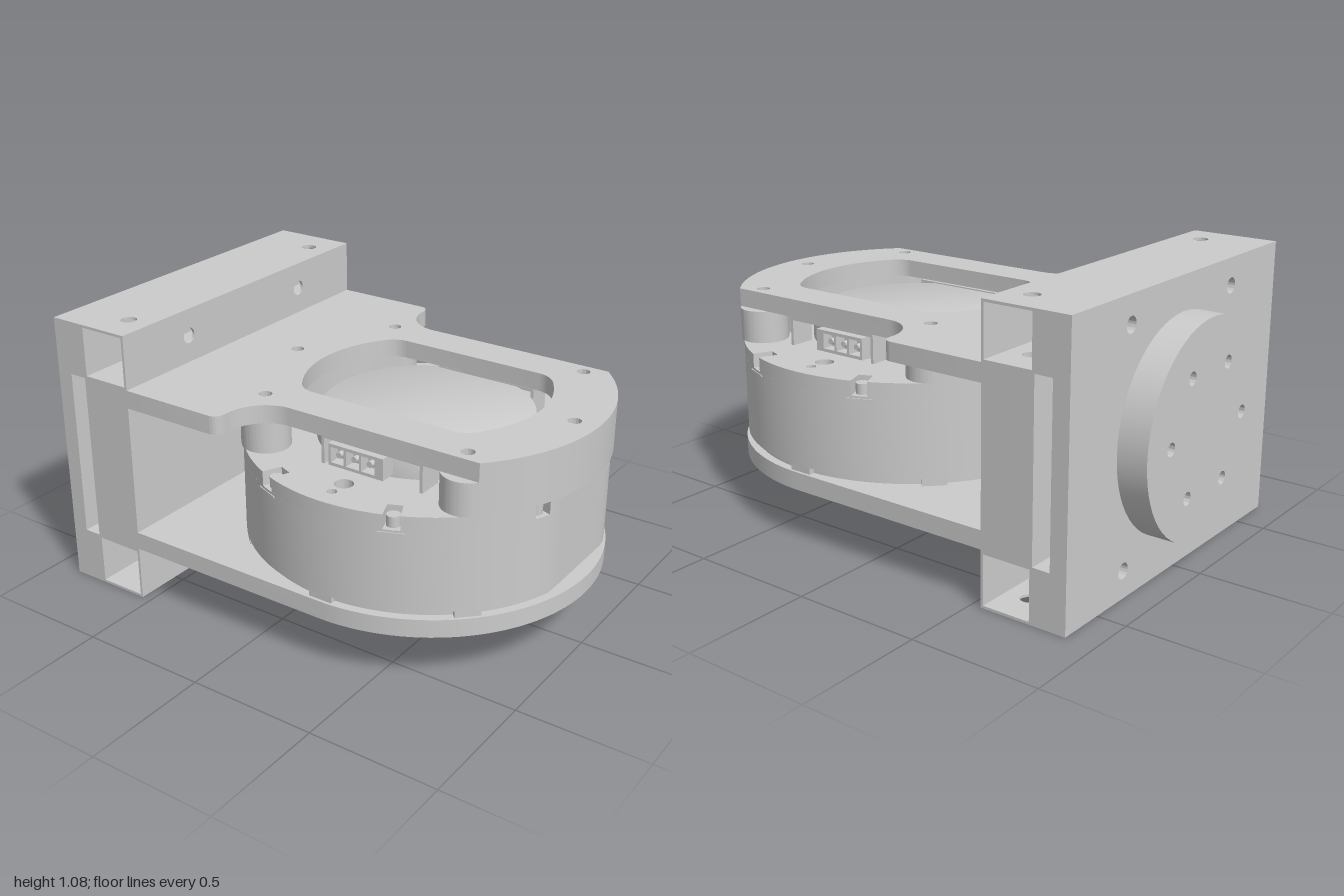
import * as THREE from 'three';
import { toCreasedNormals } from 'three/addons/utils/BufferGeometryUtils.js';

const CX = 0.31;        // motor axis in x
const HALF = 0.688;     // half width of the bracket
const PI = Math.PI;
const material = new THREE.MeshStandardMaterial({ color: 0xcccccc });

const hole = (shape, x, y, r) => {
  const p = new THREE.Path();
  p.absarc(x, y, r, 0, PI * 2, true);
  shape.holes.push(p);
};
const rect = (x0, y0, x1, y1, holes = [], r = 0.03) => {
  const s = new THREE.Shape();
  s.moveTo(x0, y0).lineTo(x1, y0).lineTo(x1, y1).lineTo(x0, y1).closePath();
  holes.forEach(([x, y]) => hole(s, x, y, r));
  return s;
};
const disc = (x, y, r) => {
  const s = new THREE.Shape();
  s.absarc(x, y, r, 0, PI * 2);
  return s;
};
const ring = (n, r, cx = 0, cy = 0, start = 0) => Array.from({ length: n }, (_, i) => {
  const a = start + (i * 2 * PI) / n;
  return [cx + r * Math.cos(a), cy + r * Math.sin(a)];
});

// Motor outline: a circle with side flats and radial steps at eight places
function motorOutline(R, flat, stepR, start, halfAngle) {
  const pts = [];
  const add = (a, r) => {
    const x = Math.max(-flat, Math.min(flat, r * Math.cos(a)));
    pts.push(new THREE.Vector2(CX + x, r * Math.sin(a)));
  };
  for (let i = 0; i < 8; i++) {
    const a = start + (i * PI) / 4;
    if (stepR) [-1, 1].forEach((s) => add(a + s * halfAngle, stepR));
    for (let k = 0; k <= 12; k++) add(a + halfAngle + (k / 12) * (PI / 4 - 2 * halfAngle), R);
  }
  return new THREE.Shape(pts);
}

export function createModel() {
  const model = new THREE.Group();
  const add = (name, geometry) => {
    const mesh = new THREE.Mesh(geometry, material);
    mesh.name = name;
    model.add(mesh);
    return mesh;
  };
  const extrude = (shape, depth) => toCreasedNormals(
    new THREE.ExtrudeGeometry(shape, { depth, bevelEnabled: false, curveSegments: 32 }), 0.4);
  // Slab lying flat, between two heights
  const slab = (name, shape, y0, y1) =>
    add(name, extrude(shape, y1 - y0).rotateX(-PI / 2).translate(0, y0, 0));
  // Slab standing upright across x
  const wall = (name, shape, x0, x1) =>
    add(name, extrude(shape, x1 - x0).rotateY(PI / 2).translate(x0, 0, 0));

  // End block: back wall, two square tubes and the solid core behind a slot
  const low = [[-0.34, 0.105], [0.34, 0.105]];
  const high = low.map(([z, y]) => [z, 1.08 - y]);
  const drill = [[-0.64, 0.55], [-0.64, -0.55]];
  wall('backWall', rect(-HALF, 0, HALF, 1.08, [...low, ...high]), -0.885, -0.82);
  wall('upperTubeBack', rect(-HALF, 0.87, HALF, 1.08, high), -0.82, -0.74);
  wall('lowerTubeBack', rect(-HALF, 0, HALF, 0.21, low), -0.82, -0.74);
  wall('upperTubeFront', rect(-HALF, 0.87, HALF, 1.08, high), -0.55, -0.54);
  wall('lowerTubeFront', rect(-HALF, 0, HALF, 0.21, low), -0.55, -0.54);
  slab('upperTubeLid', rect(-0.74, -HALF, -0.55, HALF, drill), 1.07, 1.08);
  slab('lowerTubeFloor', rect(-0.74, -HALF, -0.55, HALF, drill), 0, 0.01);
  slab('blockCore', rect(-0.75, -HALF, -0.54, HALF, drill), 0.2, 0.88);

  // Mounting flange on the back wall
  const flange = disc(0, 0.545, 0.405);
  ring(6, 0.25, 0, 0.545).forEach(([z, y]) => hole(flange, z, y, 0.025));
  wall('mountFlange', flange, -1, -0.885);

  // Bottom arm with a round end and a large opening
  const bolts = ring(8, 0.597, CX);
  const bottom = new THREE.Shape();
  bottom.moveTo(-0.54, -HALF).lineTo(CX, -HALF);
  bottom.absarc(CX, 0, HALF, -PI / 2, PI / 2);
  bottom.lineTo(-0.54, HALF).closePath();
  hole(bottom, CX, 0, 0.47);
  bolts.forEach(([x, z]) => hole(bottom, x, z, 0.025));
  slab('bottomArm', bottom, 0.215, 0.285);

  // Top arm, waisted at both sides, with a window
  const top = new THREE.Shape();
  const waist = Math.asin(0.475 / HALF);
  top.moveTo(-0.54, -HALF).lineTo(-0.16, -HALF);
  top.quadraticCurveTo(-0.115, -HALF, -0.115, -0.64);
  top.bezierCurveTo(-0.115, -0.55, -0.05, -0.475, 0.04, -0.475);
  top.absarc(CX, 0, HALF, -waist, waist);
  top.lineTo(0.04, 0.475);
  top.bezierCurveTo(-0.05, 0.475, -0.115, 0.55, -0.115, 0.64);
  top.quadraticCurveTo(-0.115, HALF, -0.16, HALF);
  top.lineTo(-0.54, HALF).closePath();
  const windowPath = new THREE.Path();
  windowPath.moveTo(CX - 0.29, -0.313).lineTo(CX + 0.29, -0.313);
  windowPath.quadraticCurveTo(CX + 0.35, -0.313, CX + 0.385, -0.25);
  windowPath.absarc(CX, 0, 0.459, -0.576, 0.576);
  windowPath.quadraticCurveTo(CX + 0.35, 0.313, CX + 0.29, 0.313);
  windowPath.lineTo(CX - 0.29, 0.313);
  windowPath.quadraticCurveTo(CX - 0.35, 0.313, CX - 0.385, 0.25);
  windowPath.absarc(CX, 0, 0.459, PI - 0.576, PI + 0.576);
  windowPath.quadraticCurveTo(CX - 0.35, -0.313, CX - 0.29, -0.313);
  top.holes.push(windowPath);
  bolts.filter((_, i) => i % 4 !== 2).forEach(([x, z]) => hole(top, x, z, 0.025));
  slab('topArm', top, 0.8, 0.87);

  // Curved spacers with rounded ends between motor and top arm
  for (const mid of [0, PI]) {
    const a0 = mid - PI / 4, a1 = mid + PI / 4;
    const at = (a) => [CX + 0.597 * Math.cos(a), 0.597 * Math.sin(a)];
    const s = new THREE.Shape();
    s.absarc(CX, 0, HALF, a0, a1);
    s.absarc(...at(a1), 0.091, a1, a1 + PI);
    s.absarc(CX, 0, 0.506, a1, a0, true);
    s.absarc(...at(a0), 0.091, a0 + PI, a0 + 2 * PI);
    [a0, mid, a1].forEach((a) => hole(s, ...at(a), 0.025));
    slab('spacer', s, 0.675, 0.8);
  }

  // Motor body: footed base, plain drum and notched upper rim
  slab('motorBase', motorOutline(0.655, 0.63, 0.678, 0, 0.07), 0.285, 0.312);
  slab('motorDrum', motorOutline(0.68, 0.65, 0, 0, 0), 0.312, 0.62);
  const rim = motorOutline(0.68, 0.65, 0.605, PI / 8, 0.045);
  for (const s of [-1, 1]) {
    hole(rim, CX, s * 0.53, 0.035);
    hole(rim, CX, s * 0.6, 0.018);
  }
  slab('motorRim', rim, 0.62, 0.675);

  // Screws in the notches, each with a small ledge below
  for (let i = 0; i < 8; i++) {
    const a = PI / 8 + (i * PI) / 4;
    const place = (m, r, y) => {
      m.position.set(CX + r * Math.cos(a), y, r * Math.sin(a));
      m.rotation.y = -a;
    };
    place(add('rimScrew', new THREE.CylinderGeometry(0.025, 0.025, 0.04, 16)), 0.64, 0.64);
    const r = i % 4 === 0 || i % 4 === 3 ? 0.664 : 0.673;
    place(add('rimLedge', new THREE.BoxGeometry(0.02, 0.006, 0.1)), r, 0.608);
  }

  // Rear cap with a softened edge
  const cap = [[0.408, 0.67], [0.408, 0.76], [0.402, 0.775], [0.388, 0.782], [0, 0.782]]
    .map(([x, y]) => new THREE.Vector2(x, y));
  add('rearCap', toCreasedNormals(new THREE.LatheGeometry(cap, 64), 0.6)).position.x = CX;

  // Cable sockets on both sides of the cap
  for (const side of [-1, 1]) {
    const box = (name, w, h, d, x, y, z) =>
      add(name, new THREE.BoxGeometry(w, h, d)).position.set(x, y, side * z);
    const frame = rect(0.19, 0.685, 0.42, 0.768);
    [0.2, 0.265, 0.33].forEach((x) => frame.holes.push(rect(x, 0.697, x + 0.055, 0.756)));
    add('socketFrame', extrude(frame, 0.05)).position.z = side > 0 ? 0.405 : -0.455;
    box('socketBack', 0.23, 0.083, 0.08, 0.305, 0.7265, 0.37);
    [0.2275, 0.2925, 0.3575].forEach((x) => {
      const pin = add('socketPin', new THREE.CylinderGeometry(0.012, 0.012, 0.05, 12));
      pin.rotation.x = PI / 2;
      pin.position.set(x, 0.7265, side * 0.42);
    });
    box('hoodTop', 0.42, 0.012, 0.1, 0.36, 0.781, 0.39);
    [0.155, 0.565].forEach((x) => box('hoodSide', 0.012, 0.11, 0.1, x, 0.728, 0.39));
  }

  // Output hub below, on a narrower neck
  slab('hubNeck', disc(CX, 0, 0.365), 0.19, 0.29);
  const hub = disc(CX, 0, 0.407);
  ring(6, 0.25, CX).forEach(([x, z]) => hole(hub, x, z, 0.025));
  slab('outputHub', hub, 0.08, 0.19);
  slab('hubLip', disc(CX, 0, 0.398), 0.19, 0.2);

  return model;
}
